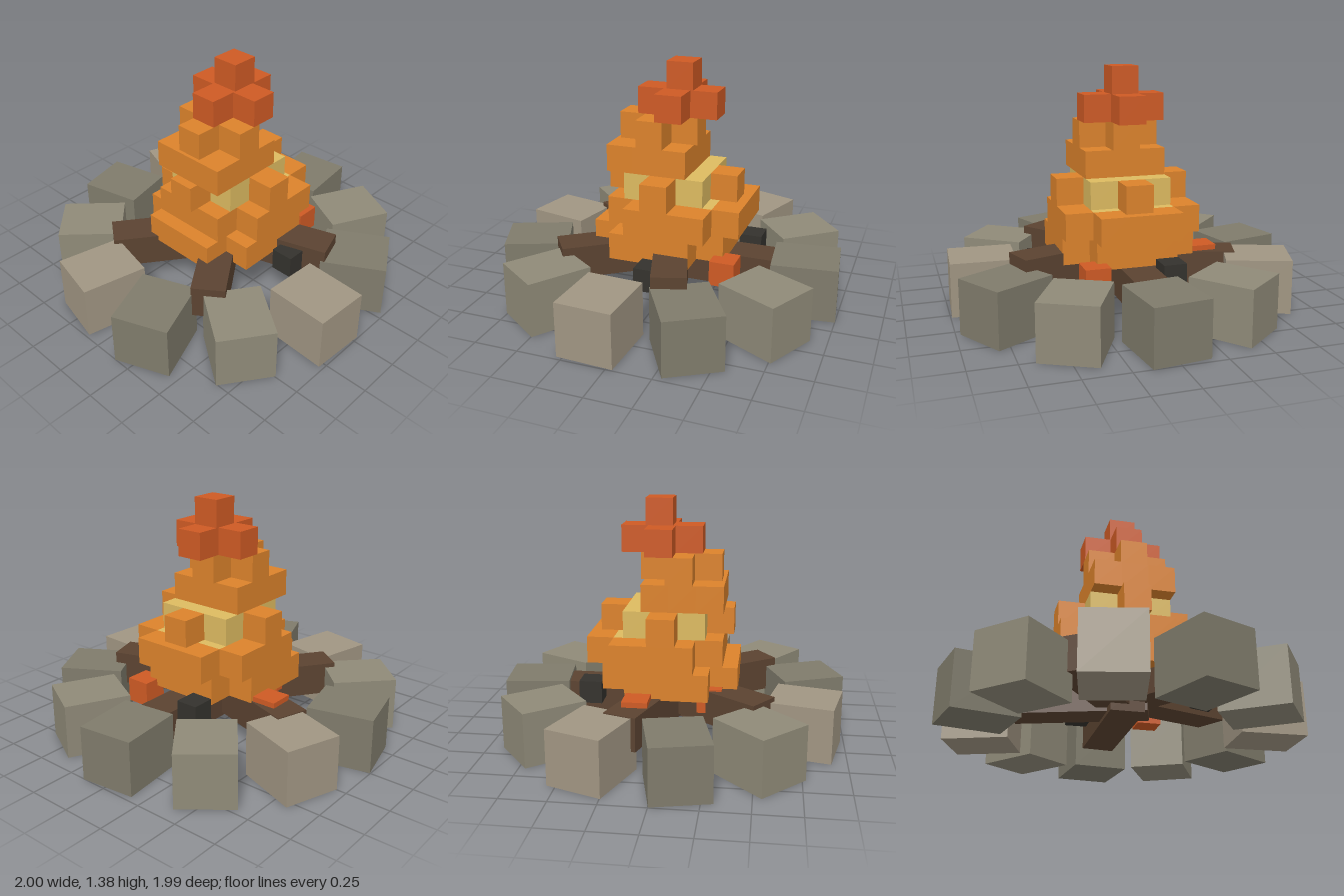
import * as THREE from 'three';

const mat = (color) => new THREE.MeshStandardMaterial({ color, flatShading: true });
const STONES = [mat(0x7f7b6b), mat(0xa09582), mat(0x8f8a78)];
const ORANGE = mat(0xdb822b), RED = mat(0xce5a24), YELLOW = mat(0xdcba60);
const WOOD = mat(0x5b4331), COAL = mat(0x34322d);
const rad = THREE.MathUtils.degToRad;

function addBox(parent, name, material, size, position, yaw = 0) {
  const mesh = new THREE.Mesh(new THREE.BoxGeometry(...size), material);
  mesh.name = name;
  mesh.position.set(...position);
  mesh.rotation.y = rad(yaw);
  parent.add(mesh);
}

function addGroup(parent, name) {
  const group = new THREE.Group();
  group.name = name;
  parent.add(group);
  return group;
}

export function createModel() {
  const model = new THREE.Group();
  model.name = 'campfire';

  // Ring of stones: x, z, yaw in degrees, shade
  const ring = addGroup(model, 'stoneRing');
  [
    [-0.115, -0.78, 13.3, 0], [0.335, -0.715, -19.5, 1], [0.67, -0.42, -51.2, 2],
    [0.8, 0.01, -83.3, 0], [0.67, 0.44, 63, 2], [0.335, 0.735, 30.5, 0],
    [-0.115, 0.8, -2.9, 1], [-0.52, 0.61, -35, 2], [-0.77, 0.23, -68, 0],
    [-0.765, -0.215, 77.5, 1], [-0.525, -0.6, 45.7, 2],
  ].forEach(([x, z, yaw, shade]) =>
    addBox(ring, 'stone', STONES[shade], [0.32, 0.31, 0.37], [x, 0.155, z], yaw));

  // Logs fanned out from the middle, each at its own height
  const logs = addGroup(model, 'logs');
  const outer = 0.67, inner = -0.15, thick = 0.19;
  [0.295, 0.375, 0.355, 0.335, 0.315].forEach((top, i) => {
    const a = rad(72 * i), r = (outer + inner) / 2;
    addBox(logs, 'log', WOOD, [outer - inner, thick, thick],
      [r * Math.cos(a), top - thick / 2, 0.01 + r * Math.sin(a)], -72 * i);
  });

  // Glowing embers and dead coals between the logs
  const embers = addGroup(model, 'embers');
  for (const [x, z] of [[0.397, 0.265], [0.146, -0.443], [-0.235, -0.195]])
    addBox(embers, 'ember', RED, [0.14, 0.14, 0.14], [x, 0.275, z]);
  for (const [x, z] of [[0.035, 0.485], [0.45, -0.15]])
    addBox(embers, 'coal', COAL, [0.13, 0.13, 0.13], [x, 0.28, z]);

  // Flame: layers of cubes swaying in x; each layer has a reach and a footprint rule
  const flame = addGroup(model, 'flame');
  const s = 0.1535;
  const diamond = (n) => (x, z) => Math.abs(x) + Math.abs(z) <= n;
  const layers = [
    { sway: -0.005, reach: 2, keep: diamond(3) },
    { sway: 0.08, reach: 2, keep: diamond(3) },
    { sway: 0.026, reach: 2, keep: diamond(2) },
    { sway: -0.075, reach: 1, keep: diamond(2) },
    { sway: -0.055, reach: 1, keep: diamond(1) },
    { sway: 0.055, reach: 1, keep: diamond(1) },
    { sway: 0.07, reach: 0, keep: diamond(0) },
  ];
  layers.forEach(({ sway, reach, keep }, level) => {
    const layer = addGroup(flame, 'flameLayer');
    for (let x = -reach; x <= reach; x++) {
      for (let z = -reach; z <= reach; z++) {
        if (!keep(x, z)) continue;
        const core = level < 3 && Math.max(Math.abs(x), Math.abs(z)) <= 1;
        addBox(layer, core ? 'flameCore' : 'flameCube',
          level > 4 ? RED : core ? YELLOW : ORANGE,
          [s, s, s], [sway + x * s, 0.306 + (level + 0.5) * s, 0.017 + z * s]);
      }
    }
  });
  return model;
}
